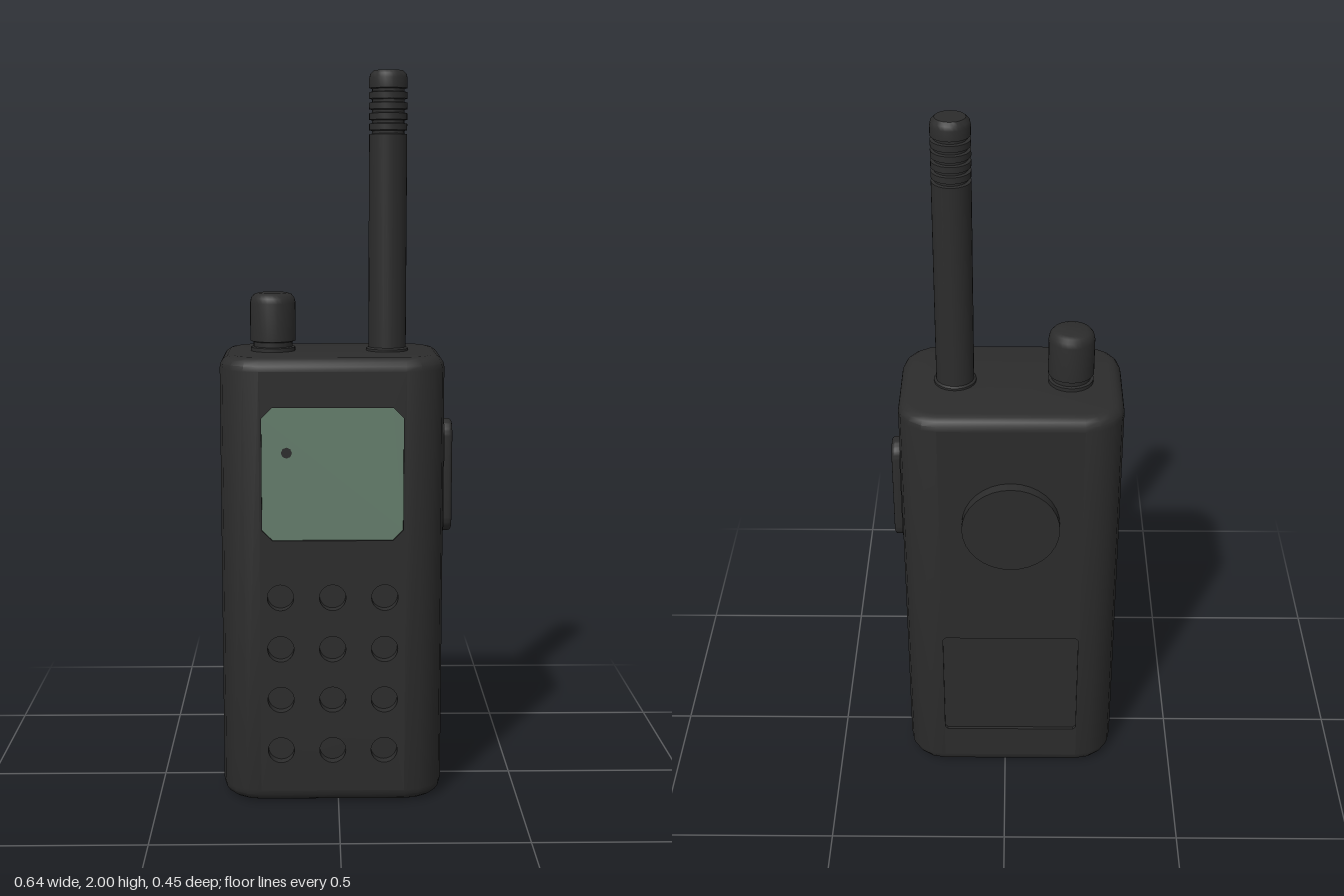
import * as THREE from 'three';
import { toCreasedNormals } from 'three/addons/utils/BufferGeometryUtils.js';

const W = 0.306, D = 0.2105, H = 1.24;   // half width, half depth, height of the case
const R = 0.108, B = 0.035;              // corner radius, top and bottom bevel

// Rounded rectangle in (x, z), going from +x towards +z
function caseOutline(inset) {
  const pts = [], n = 4;
  [[1, 1], [-1, 1], [-1, -1], [1, -1]].forEach(([sx, sz], c) => {
    for (let i = 0; i <= n; i++) {
      const a = (c + i / n) * Math.PI / 2;
      pts.push([sx * (W - R) + Math.cos(a) * (R - inset), sz * (D - R) + Math.sin(a) * (R - inset)]);
    }
  });
  return pts;
}

// Case shell lofted through outlines; flat front and back are left open for panels
function caseGeometry() {
  const levels = [], steps = 4;
  for (let k = 0; k <= steps; k++) {
    const a = (k / steps) * Math.PI / 2;
    levels.push([B * (1 - Math.cos(a)), B * (1 - Math.sin(a))]);
  }
  for (let k = steps; k >= 0; k--) levels.push([H - levels[k][0], levels[k][1]]);
  const pos = [], idx = [], n = 20;
  for (const [y, inset] of levels) for (const [x, z] of caseOutline(inset)) pos.push(x, y, z);
  for (let l = 0; l < levels.length - 1; l++) {
    for (let i = 0; i < n; i++) {
      if (l === steps && (i === 4 || i === 14)) continue;
      const j = (i + 1) % n, a = l * n + i, b = l * n + j, c = a + n, d = b + n;
      idx.push(a, c, b, b, c, d);
    }
  }
  const top = (levels.length - 1) * n, cap = pos.length / 3;
  pos.push(0, 0, 0, 0, H, 0);
  for (let i = 0; i < n; i++) {
    const j = (i + 1) % n;
    idx.push(cap, i, j, cap + 1, top + j, top + i);
  }
  const g = new THREE.BufferGeometry();
  g.setAttribute('position', new THREE.Float32BufferAttribute(pos, 3));
  g.setIndex(idx);
  return toCreasedNormals(g, 0.5);
}

// Rectangle with cut corners, as a point list
function cutRect(x0, y0, x1, y1, c) {
  return [[x0 + c, y0], [x1 - c, y0], [x1, y0 + c], [x1, y1 - c], [x1 - c, y1], [x0 + c, y1], [x0, y1 - c], [x0, y0 + c]]
    .map(([x, y]) => new THREE.Vector2(x, y));
}

// Flat case panel with openings that go in by the given depth
function panelGeometry(holes, depth) {
  const w = W - R, s = new THREE.Shape();
  s.moveTo(-w, B).lineTo(w, B).lineTo(w, H - B).lineTo(-w, H - B).closePath();
  s.holes.push(...holes);
  return new THREE.ExtrudeGeometry(s, { depth, bevelEnabled: false, curveSegments: 20 }).translate(0, 0, D - depth);
}

function lathe(points, sides = 28) {
  const g = new THREE.LatheGeometry(points.map(([r, y]) => new THREE.Vector2(r, y)), sides);
  return toCreasedNormals(g, 0.7);
}

// Upright capsule plate facing +x
function capsulePlate(r, half, depth, bevel) {
  const s = new THREE.Shape();
  s.absarc(0, half - r, r - bevel, 0, Math.PI);
  s.absarc(0, r - half, r - bevel, Math.PI, Math.PI * 2);
  s.closePath();
  const g = new THREE.ExtrudeGeometry(s, {
    depth: depth - bevel, bevelEnabled: bevel > 0, bevelThickness: bevel, bevelSize: bevel, bevelSegments: 3, curveSegments: 10,
  });
  return toCreasedNormals(g.rotateY(Math.PI / 2), 0.7);
}

export function createModel() {
  const plastic = new THREE.MeshStandardMaterial({ color: 0x2c2c2c });
  plastic.name = 'dark plastic';
  const glass = new THREE.MeshStandardMaterial({ color: 0x647d6b });
  glass.name = 'screen green';

  const model = new THREE.Group();
  model.name = 'handheldRadio';
  const add = (name, geometry, material = plastic, x = 0, y = 0, z = 0) => {
    const m = new THREE.Mesh(geometry, material);
    m.name = name;
    m.position.set(x, y, z);
    model.add(m);
    return m;
  };

  add('case', caseGeometry());

  // Front panel with screen opening and keypad wells
  const screen = cutRect(-0.191, 0.745, 0.191, 1.108, 0.028);
  const holes = [new THREE.Path(screen)];
  const keyDepth = 0.03;
  for (const y of [0.152, 0.297, 0.441, 0.586]) {
    for (const x of [-0.142, 0, 0.142]) {
      holes.push(new THREE.Path().absarc(x, y, 0.036, 0, Math.PI * 2));
      add('key', new THREE.CircleGeometry(0.037, 20), plastic, x, y, D - keyDepth + 0.001);
    }
  }
  add('frontPanel', panelGeometry(holes, keyDepth));
  add('screen', new THREE.ShapeGeometry(new THREE.Shape(screen)), glass, 0, 0, D - 0.008);
  add('screenMark', new THREE.CircleGeometry(0.015, 8), plastic, -0.124, 0.985, D - 0.006);

  // Back panel with shallow battery cover
  const cover = cutRect(-0.198, 0.14, 0.198, 0.495, 0.008).map((p) => p.multiply(new THREE.Vector2(0.99, 1)));
  const back = add('backPanel', panelGeometry([new THREE.Path(cover)], 0.01));
  back.rotation.y = Math.PI;
  const lid = add('batteryCover', new THREE.ShapeGeometry(new THREE.Shape(cover)), plastic, 0, 0, -D + 0.009);
  lid.rotation.y = Math.PI;

  // Round boss on the back
  const boss = add('backDisc', new THREE.CylinderGeometry(0.135, 0.135, 0.04, 32), plastic, 0, 0.905, -D - 0.011);
  boss.rotation.x = Math.PI / 2;

  // Talk button on the left side
  add('talkButtonBase', capsulePlate(0.05, 0.165, 0.012, 0), plastic, W - 0.005, 0.887, 0);
  add('talkButton', capsulePlate(0.045, 0.16, 0.03, 0.01), plastic, W, 0.887, 0);

  // Volume knob
  add('knob', lathe([[0.062, H - 0.01], [0.062, 1.25], [0.054, 1.252], [0.054, 1.265], [0.063, 1.268], [0.063, 1.372],
    [0.06, 1.386], [0.052, 1.396], [0.04, 1.4], [0, 1.4]]), plastic, -0.163, 0, 0);

  // Antenna with collar and grooved tip
  const profile = [[0.058, H - 0.01], [0.058, 1.246], [0.052, 1.25]];
  for (let i = 0; i < 5; i++) {
    const y = 1.83 + i * 0.028;
    profile.push([0.052, y], [0.044, y + 0.002], [0.044, y + 0.009], [0.052, y + 0.011]);
  }
  profile.push([0.052, 1.98], [0.049, 1.991], [0.04, 2], [0, 2]);
  add('antenna', lathe(profile), plastic, 0.154, 0, 0);

  // Centre the whole on the origin
  for (const part of model.children) {
    part.position.x -= 0.016;
    part.position.z += 0.0135;
  }
  return model;
}
